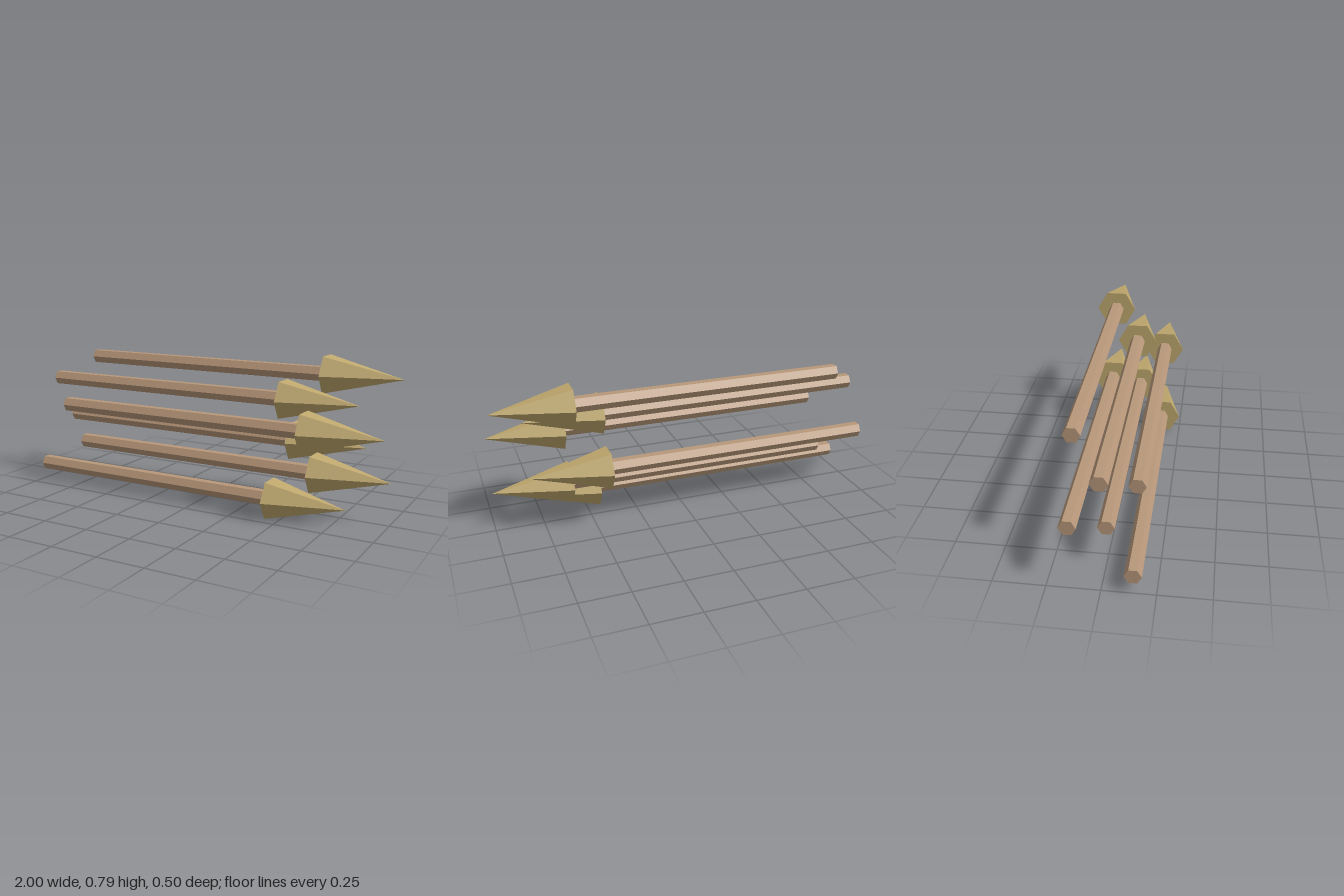
import * as THREE from 'three';

export function createModel() {
  const wood = new THREE.MeshStandardMaterial({ name: 'shaft wood', color: 0xb8987a, flatShading: true });
  const brass = new THREE.MeshStandardMaterial({ name: 'head brass', color: 0xbfa86e, flatShading: true });

  // Both parts are hexagonal and point along +x
  const SHAFT = 1.427, HEAD = 0.4;
  const shaftGeo = new THREE.CylinderGeometry(0.0405, 0.0405, SHAFT, 6)
    .rotateZ(-Math.PI / 2).translate(SHAFT / 2, 0, 0);
  const headGeo = new THREE.ConeGeometry(0.1075, HEAD, 6)
    .rotateZ(-Math.PI / 2).translate(SHAFT + HEAD / 2, 0, 0);

  const model = new THREE.Group();
  model.name = 'arrows';

  // Two diagonal rows of three, every other arrow set forward
  for (let i = 0; i < 6; i++) {
    const arrow = new THREE.Group();
    arrow.name = 'arrow' + (i + 1);
    const shaft = new THREE.Mesh(shaftGeo, wood);
    shaft.name = 'shaft';
    const head = new THREE.Mesh(headGeo, brass);
    head.name = 'arrowHead';
    arrow.add(shaft, head);
    arrow.position.set(i % 2 ? -0.827 : -1, 0.094 + i * 0.12, 0.143 * (1 - (i % 3)));
    model.add(arrow);
  }
  return model;
}
